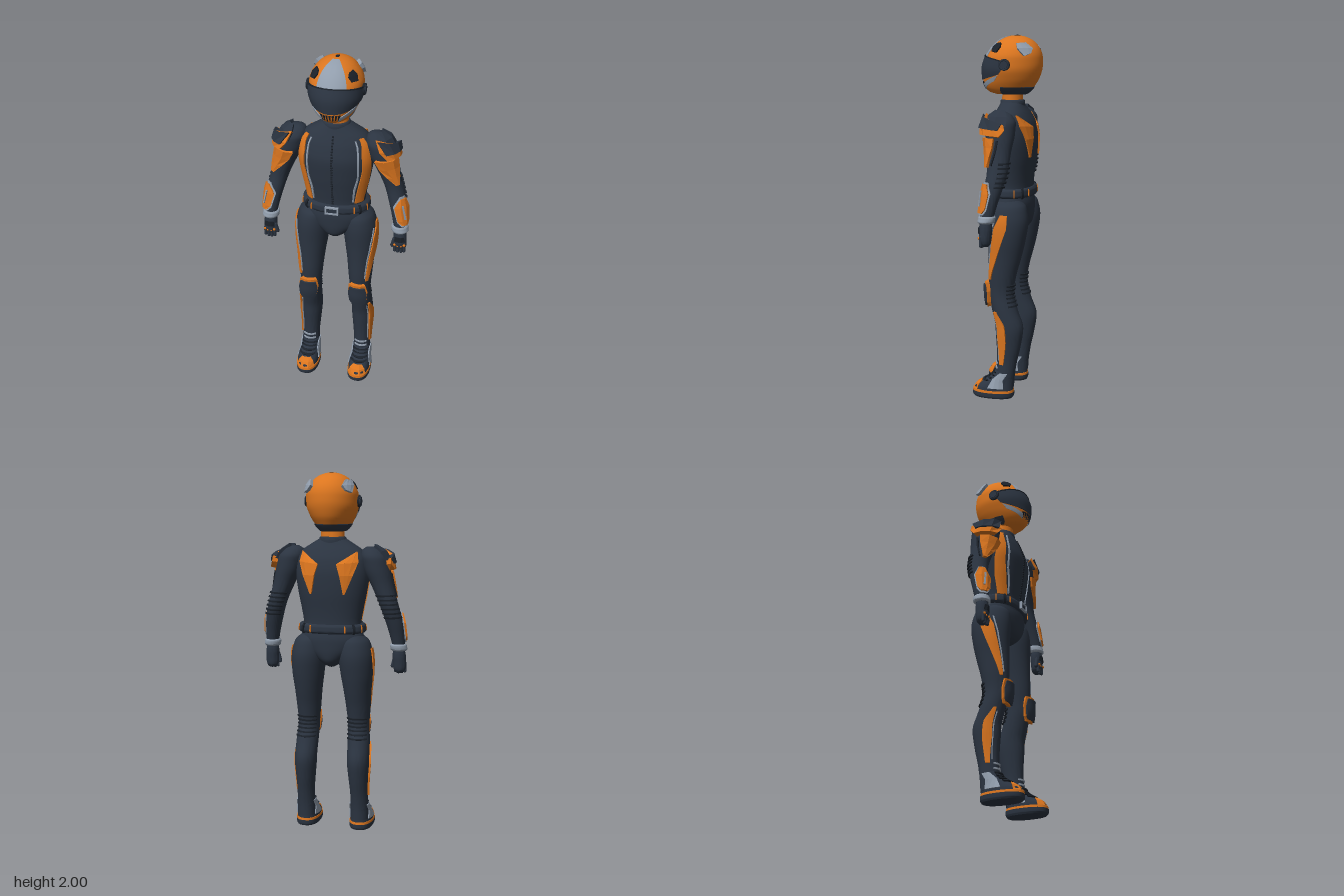
import * as THREE from 'three';
import { toCreasedNormals } from 'three/addons/utils/BufferGeometryUtils.js';

const RAD = Math.PI / 180;
const mat = (name, color) => { const m = new THREE.MeshStandardMaterial({ color }); m.name = name; return m; };

// Body form from horizontal sections [y, cx, cz, rx, rz], top to bottom, smoothly interpolated.
// Angles: 0 = front (+z), 90 = +x, 180 = back.
function form(rows, power = 2) {
  const slope = (k, c) => (rows[k + 1][c] - rows[k][c]) / (rows[k + 1][0] - rows[k][0]);
  const tangent = (k, c) => {
    if (k === 0) return slope(0, c);
    if (k === rows.length - 1) return slope(k - 1, c);
    const a = slope(k - 1, c), b = slope(k, c);
    return a * b <= 0 ? 0 : 2 * a * b / (a + b);
  };
  const section = (y) => {
    y = Math.min(rows[0][0], Math.max(rows[rows.length - 1][0], y));
    let k = 0;
    while (k < rows.length - 2 && y < rows[k + 1][0]) k++;
    const h = rows[k + 1][0] - rows[k][0], t = (y - rows[k][0]) / h, t2 = t * t, t3 = t2 * t;
    return [y, ...[1, 2, 3, 4].map((c) => (2 * t3 - 3 * t2 + 1) * rows[k][c] + (t3 - 2 * t2 + t) * h * tangent(k, c)
      + (3 * t2 - 2 * t3) * rows[k + 1][c] + (t3 - t2) * h * tangent(k + 1, c))];
  };
  const bend = (v) => Math.sign(v) * Math.abs(v) ** (2 / power);
  const base = (y, deg) => {
    const [yy, cx, cz, rx, rz] = section(y);
    return new THREE.Vector3(cx + rx * bend(Math.sin(deg * RAD)), yy, cz + rz * bend(Math.cos(deg * RAD)));
  };
  const at = (y, deg, off = 0) => {
    const p = base(y, deg);
    if (!off) return p;
    const da = base(y, deg + 0.5).sub(base(y, deg - 0.5));
    const dy = base(y + 1e-3, deg).sub(base(y - 1e-3, deg));
    return p.addScaledVector(da.cross(dy).normalize(), off);
  };
  return { rows, at };
}

function geometry(points, index, crease) {
  const g = new THREE.BufferGeometry().setFromPoints(points);
  g.setIndex(index);
  return toCreasedNormals(g, crease);
}

// Closed skin over a form
function skin(f, sides = 44, steps = 4) {
  const ys = [], pts = [], idx = [];
  f.rows.forEach((r, k) => {
    if (k) for (let s = 1; s <= steps; s++) ys.push(THREE.MathUtils.lerp(f.rows[k - 1][0], r[0], s / steps));
    else ys.push(r[0]);
  });
  ys.forEach((y) => { for (let j = 0; j < sides; j++) pts.push(f.at(y, j * 360 / sides)); });
  const first = f.rows[0], last = f.rows[f.rows.length - 1], top = pts.length, end = (ys.length - 1) * sides;
  pts.push(new THREE.Vector3(first[1], first[0], first[2]), new THREE.Vector3(last[1], last[0], last[2]));
  for (let j = 0; j < sides; j++) {
    const n = (j + 1) % sides;
    for (let i = 0; i < ys.length - 1; i++) {
      const a = i * sides, b = a + sides;
      idx.push(a + j, b + j, b + n, a + j, b + n, a + n);
    }
    idx.push(top, j, n, top + 1, end + n, end + j);
  }
  return geometry(pts, idx, 0.8);
}

// Raised panel following a form. Rows top to bottom: [y, a0, a1] or [a0, y0, a1, y1, bulge]
function panel(f, rows, off = 0.005, flat = false) {
  const full = rows.map((r) => r.length === 3 ? [r[1], r[0], r[2], r[0], 0] : [...r.slice(0, 4), r[4] || 0]);
  const nu = flat ? 3 : 12, nv = flat ? 1 : 4, us = [0], vs = [0], pts = [], idx = [];
  for (let i = 0; i <= nu; i++) us.push(i / nu);
  for (let i = 0; i <= nv * (full.length - 1); i++) vs.push(i / nv);
  us.push(1); vs.push(full.length - 1);
  vs.forEach((v, i) => {
    const k = Math.min(full.length - 2, Math.floor(v));
    const r = full[k].map((q, c) => THREE.MathUtils.lerp(q, full[k + 1][c], v - k));
    us.forEach((u, j) => {
      const rim = !i || !j || i === vs.length - 1 || j === us.length - 1;
      const y = THREE.MathUtils.lerp(r[1], r[3], u) + r[4] * 4 * u * (1 - u);
      pts.push(f.at(y, THREE.MathUtils.lerp(r[0], r[2], u), rim ? -0.004 : off));
    });
  });
  const w = us.length;
  for (let i = 0; i < vs.length - 1; i++) for (let j = 0; j < w - 1; j++) {
    const a = i * w + j, b = a + w;
    idx.push(a, b, b + 1, a, b + 1, a + 1);
  }
  return geometry(pts, idx, flat ? 0.02 : 0.6);
}

function mirrored(g) {
  const m = g.clone().scale(-1, 1, 1);
  const order = m.index ? Array.from(m.index.array) : Array.from({ length: m.attributes.position.count }, (_, i) => i);
  m.setIndex(order.reverse());
  return m;
}

export function createModel() {
  const model = new THREE.Group();
  const suit = mat('suit navy', 0x2b3441), orange = mat('orange', 0xdc761f);
  const grey = mat('light grey', 0x919dac), black = mat('black', 0x1b2129);
  const one = (name, g, m) => { const mesh = new THREE.Mesh(g, m); mesh.name = name; model.add(mesh); };
  const pair = (name, g, m) => { one(name + 'Left', g, m); one(name + 'Right', mirrored(g), m); };

  // Helmet
  const helmet = form([[1.999, 0, -.03, .012, .013], [1.995, 0, -.03, .036, .04], [1.982, 0, -.03, .07, .076],
    [1.96, 0, -.029, .1, .108], [1.92, 0, -.025, .129, .14], [1.88, 0, -.018, .142, .157], [1.83, 0, -.01, .143, .165],
    [1.77, 0, -.002, .125, .156], [1.72, 0, .008, .098, .135], [1.695, 0, .008, .078, .11], [1.685, 0, 0, .065, .085]]);
  one('helmetShell', skin(helmet, 56), orange);
  one('helmetFrontWedge', panel(helmet, [[1.996, -30, 30], [1.96, -32, 32], [1.92, -33, 33], [1.875, -33, 33]], .003), grey);
  one('visor', panel(helmet, [[-80, 1.86, 80, 1.86, .026], [-84, 1.825, 84, 1.825, 0], [-76, 1.795, 76, 1.795, -.035]], .006), suit);
  one('visorTopEdge', panel(helmet, [[-80, 1.866, 80, 1.866, .026], [-80, 1.86, 80, 1.86, .026]], .009), black);
  one('helmetRim', panel(helmet, [[80, 1.725, 280, 1.725], [75, 1.687, 285, 1.687]], .004), suit);
  one('helmetTopVent', new THREE.SphereGeometry(1, 16, 10).scale(.012, .004, .018).translate(0, 1.998, -.037), black);
  for (let i = -3; i <= 3; i++) {
    const a = i * 8;
    one('chinVent', panel(helmet, [[1.752, a - 3, a + 3], [1.722 - .006 * (i & 1), a - 1, a + 1]], .004, true), black);
  }
  pair('helmetVent', panel(helmet, [[46, 1.952, 60, 1.957], [40, 1.935, 66, 1.935], [46, 1.912, 62, 1.908]], .009, true), black);
  pair('helmetFin', panel(helmet, [[105, 1.948, 128, 1.952], [108, 1.925, 142, 1.925], [122, 1.89, 136, 1.902]], .018, true), grey);
  pair('chinStreak', panel(helmet, [[26, 1.74, 74, 1.79], [24, 1.712, 66, 1.757]], .004), grey);
  const disc = (r, h, x) => new THREE.CylinderGeometry(r, r, h, 24).rotateZ(-Math.PI / 2).translate(x, 1.845, -.003);
  pair('earDisc', disc(.031, .02, .142), black);
  pair('earCap', disc(.02, .008, .154), suit);
  pair('earRing', new THREE.TorusGeometry(.025, .004, 6, 24).rotateY(Math.PI / 2).translate(.153, 1.845, -.003), suit);

  // Neck and torso
  one('neck', skin(form([[1.71, 0, -.01, .064, .055], [1.63, 0, -.01, .066, .058]])), orange);
  one('collar', skin(form([[1.655, 0, -.01, .066, .058], [1.648, 0, -.01, .074, .066], [1.62, 0, -.01, .082, .068]])), suit);
  const torso = form([[1.645, 0, -.008, .07, .057], [1.615, 0, -.01, .12, .072], [1.58, 0, -.013, .17, .092],
    [1.53, 0, -.015, .198, .115], [1.45, 0, -.013, .205, .131], [1.35, 0, -.015, .192, .125],
    [1.25, 0, -.015, .172, .112], [1.18, 0, -.016, .162, .106], [1.11, 0, -.016, .165, .108]], 2.15);
  one('torso', skin(torso), suit);
  for (let i = 0; i < 28; i++) {
    const p = torso.at(1.19 + i * .0148, 0);
    one('zipperTooth', new THREE.BoxGeometry(.01, .008, .012).translate(p.x, p.y, p.z), black);
  }
  pair('chestPanel', panel(torso, [[1.58, 50, 62], [1.5, 47, 66], [1.4, 50, 74], [1.3, 47, 76], [1.19, 44, 70]], .006), orange);
  pair('chestPiping', panel(torso, [[1.57, 38, 41], [1.45, 39, 42], [1.35, 41, 44], [1.28, 37, 41], [1.2, 38, 41]], .006), grey);
  pair('backPanel', panel(torso, [[122, 1.575, 128, 1.57], [128, 1.52, 167, 1.51], [140, 1.45, 162, 1.45], [152, 1.35, 155, 1.35]], .01, true), orange);

  // Belt
  const belt = form([[1.18, 0, -.016, .176, .116], [1.172, 0, -.016, .187, .123], [1.14, 0, -.016, .19, .125], [1.13, 0, -.016, .18, .117]], 2.2);
  one('belt', skin(belt), suit);
  [36, 70, 110, 150].forEach((a) => pair('beltMark', panel(belt, [[1.174, a, a + 2.5], [1.138, a, a + 2.5]], .004), orange));
  [48, 130].forEach((a) => pair('beltLoop', panel(belt, [[1.178, a, a + 5], [1.132, a, a + 5]], .008), black));
  const rect = (C, w, h) => new C([[-w, -h], [w, -h], [w, h], [-w, h]].map((q) => new THREE.Vector2(...q)));
  const frame = rect(THREE.Shape, .037, .022);
  frame.holes.push(rect(THREE.Path, .029, .014));
  one('buckle', new THREE.ExtrudeGeometry(frame, { depth: .014, bevelEnabled: false }).translate(0, 1.155, .107), grey);
  one('bucklePlate', new THREE.BoxGeometry(.06, .03, .012).translate(0, 1.155, .108), suit);

  // Pelvis and legs
  one('pelvis', skin(form([[1.145, 0, -.016, .165, .105], [1.09, 0, -.018, .182, .113], [1.04, 0, -.018, .155, .112],
    [.99, 0, -.018, .095, .105], [.955, 0, -.02, .05, .08], [.935, 0, -.022, .015, .03]])), suit);
  const leg = form([[1.125, .115, -.02, .045, .06], [1.08, .125, -.02, .086, .1], [1, .134, -.022, .097, .112], [.9, .14, -.017, .09, .103],
    [.8, .142, -.006, .077, .091], [.7, .144, .008, .068, .078], [.6, .145, .014, .06, .068], [.5, .15, -.008, .062, .072],
    [.4, .153, -.034, .062, .078], [.3, .154, -.03, .055, .068], [.2, .156, -.02, .049, .056], [.12, .157, -.012, .05, .052], [.06, .157, -.01, .05, .05]]);
  pair('leg', skin(leg), suit);
  pair('thighStripe', panel(leg, [[1.045, 80, 100], [.97, 60, 98], [.88, 50, 84], [.78, 42, 68], [.68, 36, 50]], .007), orange);
  pair('thighPiping', panel(leg, [[1.02, 60, 64], [.93, 46, 50], [.82, 37, 41], [.7, 30, 34]], .005), grey);
  pair('shinStripe', panel(leg, [[.5, 48, 60], [.43, 48, 82], [.33, 50, 88], [.2, 62, 84]], .01), orange);
  pair('shinPiping', panel(leg, [[.48, 38, 42], [.36, 42, 46], [.22, 48, 52]], .005), grey);
  pair('kneePadRim', panel(leg, [[.66, -36, 32], [.61, -44, 42], [.55, -36, 34], [.525, -24, 22]], .022, true), orange);
  pair('kneePad', panel(leg, [[.645, -30, 28], [.6, -37, 36], [.55, -32, 30], [.535, -24, 22]], .031), suit);
  for (let i = 0; i < 6; i++) {
    const y = .65 - i * .023;
    pair('kneeRib', panel(leg, [[y, 125, 235], [y - .009, 125, 235]], .008), black);
  }
  [.205, .178].forEach((y) => pair('ankleStrap', panel(leg, [[y, -42, 42], [y - .009, -42, 42]], .006), grey));

  // Shoes
  pair('sole', skin(form([[.032, .157, .058, .068, .119], [.012, .157, .058, .067, .118], [0, .157, .056, .061, .11]], 2.4)), suit);
  pair('soleBand', skin(form([[.045, .157, .058, .066, .116], [.03, .157, .058, .067, .118]], 2.4)), orange);
  const shoe = form([[.155, .157, -.01, .05, .055], [.125, .157, 0, .052, .064], [.1, .157, .02, .056, .08],
    [.075, .157, .045, .06, .1], [.055, .157, .055, .063, .112], [.035, .157, .057, .064, .114]], 2.2);
  pair('shoe', skin(shoe), suit);
  pair('toeCap', panel(shoe, [[.088, -24, 24], [.07, -40, 40], [.045, -46, 46]], .006, true), orange);
  pair('ankleOuterPanel', panel(shoe, [[.148, 75, 115], [.11, 62, 105], [.06, 80, 125]], .006, true), grey);
  pair('ankleInnerPanel', panel(shoe, [[.148, -115, -75], [.11, -105, -62], [.06, -125, -80]], .006, true), grey);
  [.15, .132, .115, .1].forEach((y) => pair('shoeLace', panel(shoe, [[y, -48, 48], [y - .007, -48, 48]], .009), black));

  // Arms
  const arm = form([[1.602, .212, -.012, .02, .02], [1.585, .22, -.012, .052, .052], [1.54, .235, -.01, .074, .08],
    [1.48, .25, -.01, .073, .078], [1.4, .278, -.012, .061, .065], [1.3, .314, -.014, .052, .056], [1.2, .343, .004, .048, .05],
    [1.12, .358, .02, .041, .042], [1.05, .366, .032, .034, .036], [1.03, .367, .035, .032, .034]]);
  pair('arm', skin(arm), suit);
  pair('shoulderCap', panel(arm, [[1.597, 20, 130], [1.57, 0, 125], [1.53, 5, 120]], .018, true), suit);
  pair('shoulderPad', panel(arm, [[0, 1.575, 112, 1.535], [8, 1.535, 116, 1.51], [25, 1.485, 100, 1.475]], .032, true), orange);
  pair('shoulderPadInset', panel(arm, [[6, 1.567, 106, 1.54], [24, 1.52, 96, 1.507]], .041, true), suit);
  pair('upperArmPanel', panel(arm, [[1.47, -22, 82], [1.42, -18, 76], [1.37, 2, 62], [1.32, 26, 46]], .016, true), orange);
  pair('upperArmPiping', panel(arm, [[1.46, 90, 98], [1.4, 82, 90], [1.33, 62, 70]], .008, true), black);
  pair('forearmTrim', panel(arm, [[1.245, 30, 66], [1.19, -20, 96], [1.1, -8, 92], [1.075, 20, 70]], .008, true), grey);
  pair('forearmPad', panel(arm, [[1.235, 32, 64], [1.185, -10, 86], [1.11, -2, 84], [1.085, 22, 66]], .016, true), orange);
  pair('forearmSlot', panel(arm, [[1.2, 30, 38], [1.12, 38, 48]], .02, true), grey);
  for (let i = 0; i < 6; i++) {
    const y = 1.345 - i * .024;
    pair('elbowRib', panel(arm, [[y, 105, 230], [y - .009, 105, 230]], .008), black);
  }

  // Gloves
  pair('cuff', skin(form([[1.068, .364, .03, .04, .041], [1.06, .364, .03, .046, .046], [1.038, .367, .034, .047, .046], [1.03, .367, .035, .04, .04]])), grey);
  const hand = form([[1.035, .367, .035, .031, .031], [1, .368, .036, .037, .035], [.95, .37, .038, .037, .033], [.918, .37, .036, .03, .026], [.905, .37, .036, .018, .016]]);
  pair('hand', skin(hand, 28), suit);
  for (let i = 0; i < 4; i++) {
    const x = .344 + i * .0175, y = .925 + Math.abs(i - 1.4) * .006;
    pair('finger', new THREE.CapsuleGeometry(.009, .045, 4, 10).translate(x, y, .056), suit);
    pair('knuckle', new THREE.SphereGeometry(.0085, 8, 6).translate(x, y + .018, .063), orange);
  }
  pair('thumb', new THREE.CapsuleGeometry(.011, .045, 4, 10).rotateZ(-.25).translate(.334, .96, .05), suit);
  pair('handGuard', panel(hand, [[1.005, -35, 40], [.975, -45, 50]], .005, true), black);
  return model;
}
